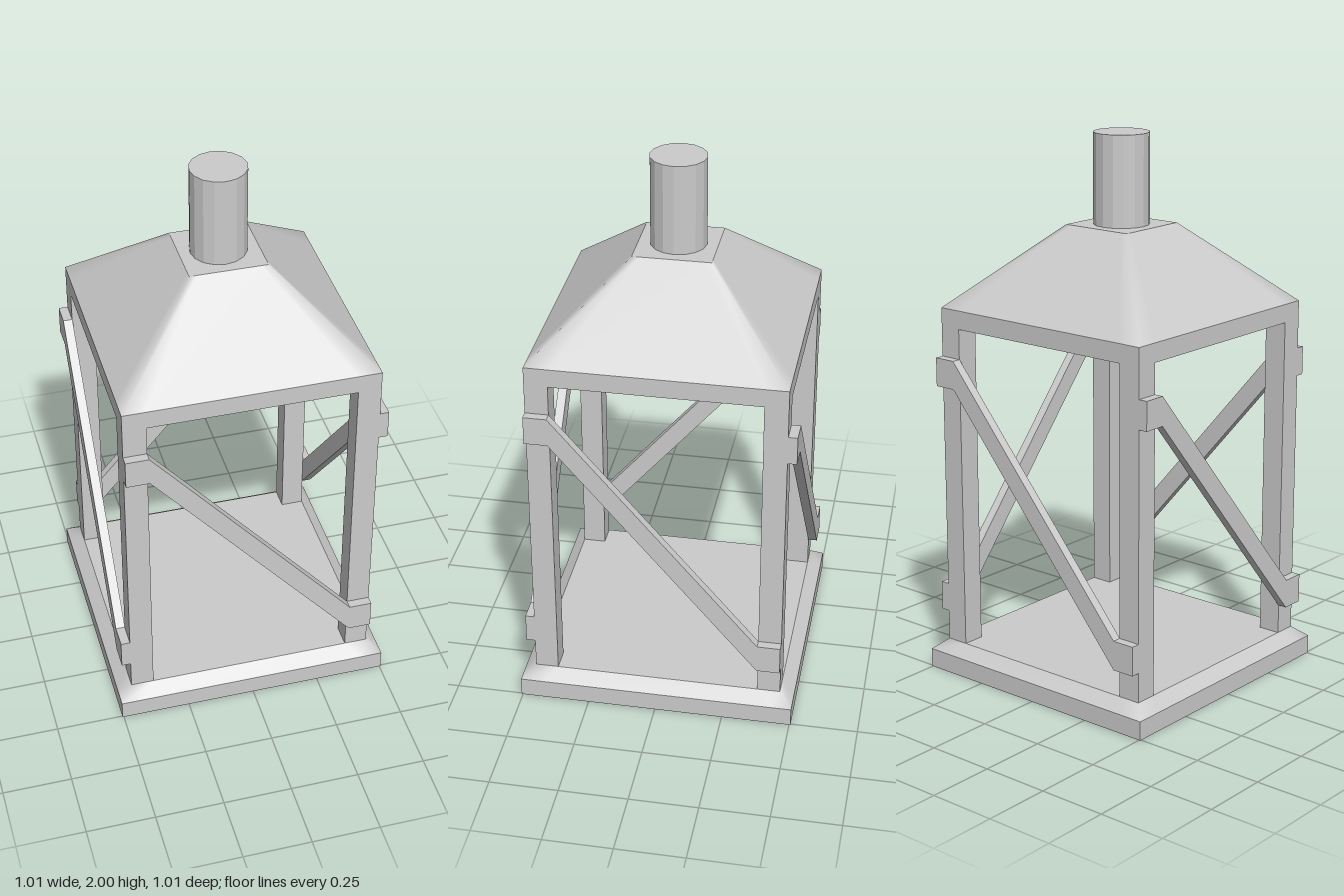
import * as THREE from 'three';

const material = new THREE.MeshStandardMaterial({ color: 0xcccccc });
const flat = new THREE.MeshStandardMaterial({ color: 0xcccccc, flatShading: true });

function add(parent, name, geometry, y = 0, mat = material) {
  const mesh = new THREE.Mesh(geometry, mat);
  mesh.name = name;
  mesh.position.y = y;
  parent.add(mesh);
  return mesh;
}

// Square ring of 12 points: each side has a corner and two points close to its ends
function squareRing(half, inset, y) {
  const points = [];
  for (let side = 0; side < 4; side++) {
    for (const t of [-half, -half + inset, half - inset]) {
      let x = t, z = half;
      for (let k = 0; k < side; k++) [x, z] = [z, -x];
      points.push(x, y, z);
    }
  }
  return points;
}

// Four sloping faces whose shading softens only along the hips
function slope(half0, inset0, y0, half1, inset1, y1) {
  const index = [];
  for (let a = 0; a < 12; a++) {
    const b = (a + 1) % 12;
    index.push(a, b, b + 12, a, b + 12, a + 12);
  }
  const geometry = new THREE.BufferGeometry();
  geometry.setAttribute('position', new THREE.Float32BufferAttribute(
    [...squareRing(half0, inset0, y0), ...squareRing(half1, inset1, y1)], 3));
  geometry.setIndex(index);
  geometry.computeVertexNormals();
  return geometry;
}

const topPlane = (size) => new THREE.PlaneGeometry(size, size).rotateX(-Math.PI / 2);

// Diagonal brace with a short level lap on each post
function braceGeometry() {
  const outline = [
    [-0.457, 1.095], [-0.373, 1.095], [0.373, 0.22], [0.457, 0.22],
    [0.457, 0.328], [0.373, 0.328], [-0.373, 1.2], [-0.457, 1.2],
  ].map(([x, y]) => new THREE.Vector2(x, y));
  return new THREE.ExtrudeGeometry(new THREE.Shape(outline), { depth: 0.034, bevelEnabled: false })
    .translate(0, 0, 0.456);
}

export function createModel() {
  const lantern = new THREE.Group();
  lantern.name = 'lantern';

  // Base slab with a sloping shoulder
  const base = new THREE.Group();
  base.name = 'base';
  lantern.add(base);
  add(base, 'baseSlab', new THREE.BoxGeometry(1.01, 0.07, 1.01), 0.035);
  add(base, 'baseShoulder', slope(0.505, 0.08, 0.07, 0.457, 0.08, 0.11));
  add(base, 'baseTop', topPlane(0.914), 0.11);

  // Corner posts and braces, repeated by quarter turns
  const postShape = new THREE.BoxGeometry(0.084, 1.23, 0.084).translate(0.415, 0, 0.415);
  const braceShape = braceGeometry();
  for (let i = 0; i < 4; i++) {
    const side = new THREE.Group();
    side.name = 'frameSide' + (i + 1);
    side.rotation.y = i * Math.PI / 2;
    add(side, 'post', postShape, 0.71);
    add(side, 'brace', braceShape);
    lantern.add(side);
  }

  // Roof: square rim, hipped slopes and a flat crown
  const roof = new THREE.Group();
  roof.name = 'roof';
  lantern.add(roof);
  add(roof, 'roofRim', new THREE.BoxGeometry(0.914, 0.068, 0.914), 1.344);
  add(roof, 'roofSlopes', slope(0.457, 0.084, 1.378, 0.14, 0.026, 1.672));
  add(roof, 'roofCrown', topPlane(0.28), 1.672);

  // Chimney
  add(lantern, 'chimney', new THREE.CylinderGeometry(0.101, 0.101, 0.34, 16), 1.83, flat);

  return lantern;
}
